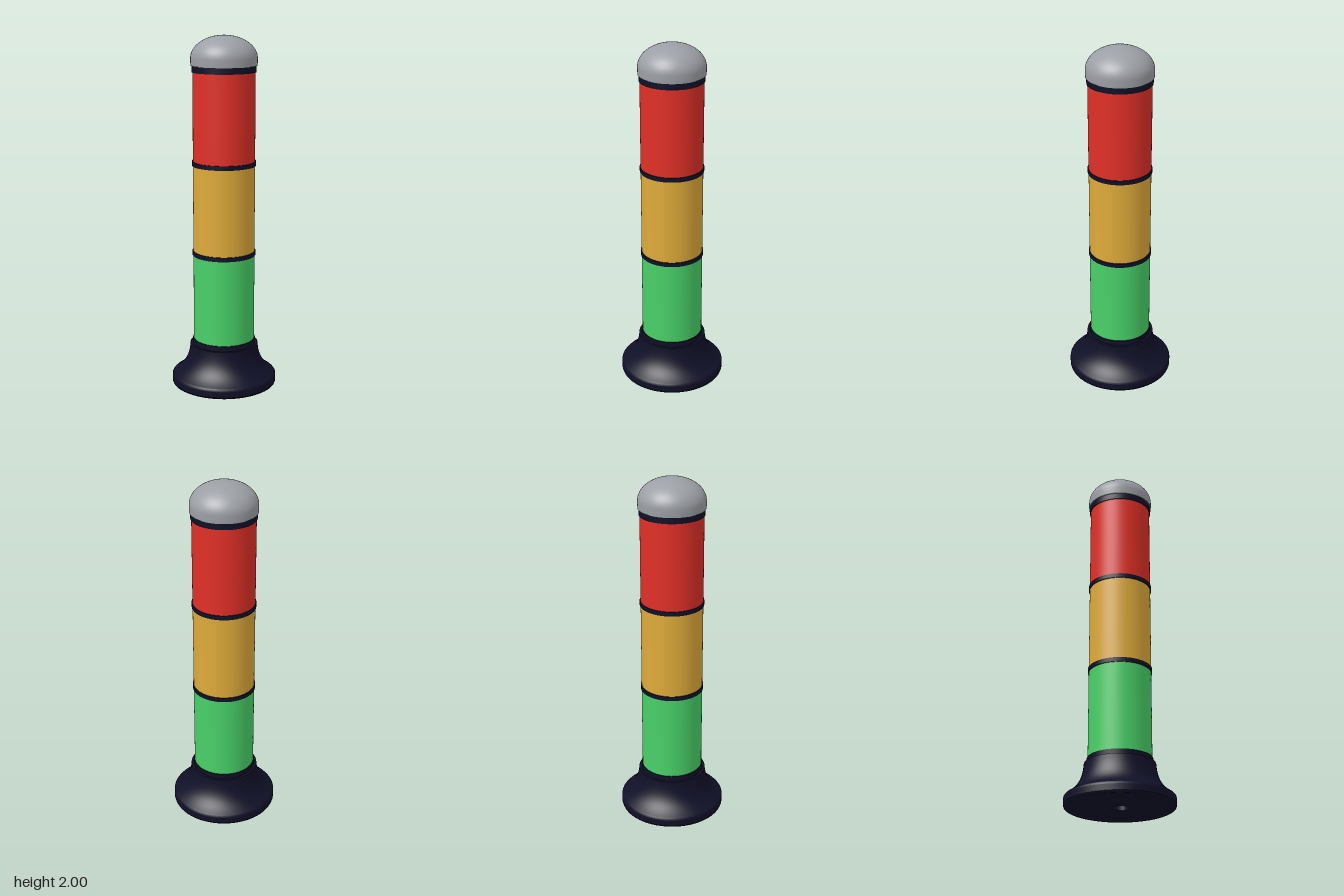
import * as THREE from 'three';
import { mergeGeometries } from 'three/addons/utils/BufferGeometryUtils.js';

const SEGMENTS = 64;
const paint = (name, color) => {
  const m = new THREE.MeshStandardMaterial({ color });
  m.name = name;
  return m;
};

// Turn smooth runs around the y axis; edges stay sharp between runs.
// Each profile goes from the bottom axis, outwards, up and back to the axis.
function turned(...runs) {
  return mergeGeometries(runs.map(run => new THREE.LatheGeometry(
    run.map(p => new THREE.Vector2(p[0], p[1])), SEGMENTS)));
}

// Closed cylinder between two heights
const disc = (r, y0, y1) => turned(
  [[0, y0], [r, y0]], [[r, y0], [r, y1]], [[r, y1], [0, y1]]);

export function createModel() {
  const model = new THREE.Group();
  model.name = 'signalTower';
  const navy = paint('darkNavy', 0x101028);
  const grey = paint('capGrey', 0x9c9fa5);
  const add = (name, geometry, material) => {
    const mesh = new THREE.Mesh(geometry, material);
    mesh.name = name;
    model.add(mesh);
  };

  // Flared foot with a small cable recess underneath
  const flare = new THREE.CubicBezierCurve(
    new THREE.Vector2(0.293, 0.06), new THREE.Vector2(0.23, 0.098),
    new THREE.Vector2(0.2, 0.15), new THREE.Vector2(0.194, 0.24))
    .getPoints(16).map(p => [p.x, p.y]);
  add('base', turned(
    [[0, 0.03], [0.045, 0.03]],
    [[0.045, 0.03], [0.045, 0]],
    [[0.045, 0], [0.29, 0]],
    [[0.29, 0], [0.297, 0.004], [0.3, 0.012]],
    [[0.3, 0.012], [0.3, 0.045]],
    [[0.3, 0.045], [0.299, 0.053], [0.293, 0.06]],
    flare,
    [[0.194, 0.24], [0, 0.24]]), navy);

  // Lamp sections, bottom to top
  const lamps = [
    ['greenLamp', paint('lampGreen', 0x49d068), 0.27, 0.765],
    ['amberLamp', paint('lampAmber', 0xdeaa3a), 0.79, 1.28],
    ['redLamp', paint('lampRed', 0xe03027), 1.305, 1.80],
  ];
  for (const [name, material, y0, y1] of lamps) add(name, disc(0.174, y0, y1), material);

  // Dark rings between the sections
  const rings = [
    ['baseCollar', 0.24, 0.27], ['lowerRing', 0.765, 0.79],
    ['upperRing', 1.28, 1.305], ['capCollar', 1.80, 1.835],
  ];
  for (const [name, y0, y1] of rings) add(name, disc(0.179, y0, y1), navy);

  // Rounded cap: short wall running into a flattened dome
  const dome = [[0.184, 1.835], [0.185, 1.85]];
  for (let i = 0; i <= 20; i++) {
    const a = i / 20 * Math.PI / 2;
    dome.push([0.185 * Math.cos(a), 1.875 + 0.125 * Math.sin(a)]);
  }
  add('cap', turned([[0, 1.835], [0.184, 1.835]], dome), grey);

  return model;
}
